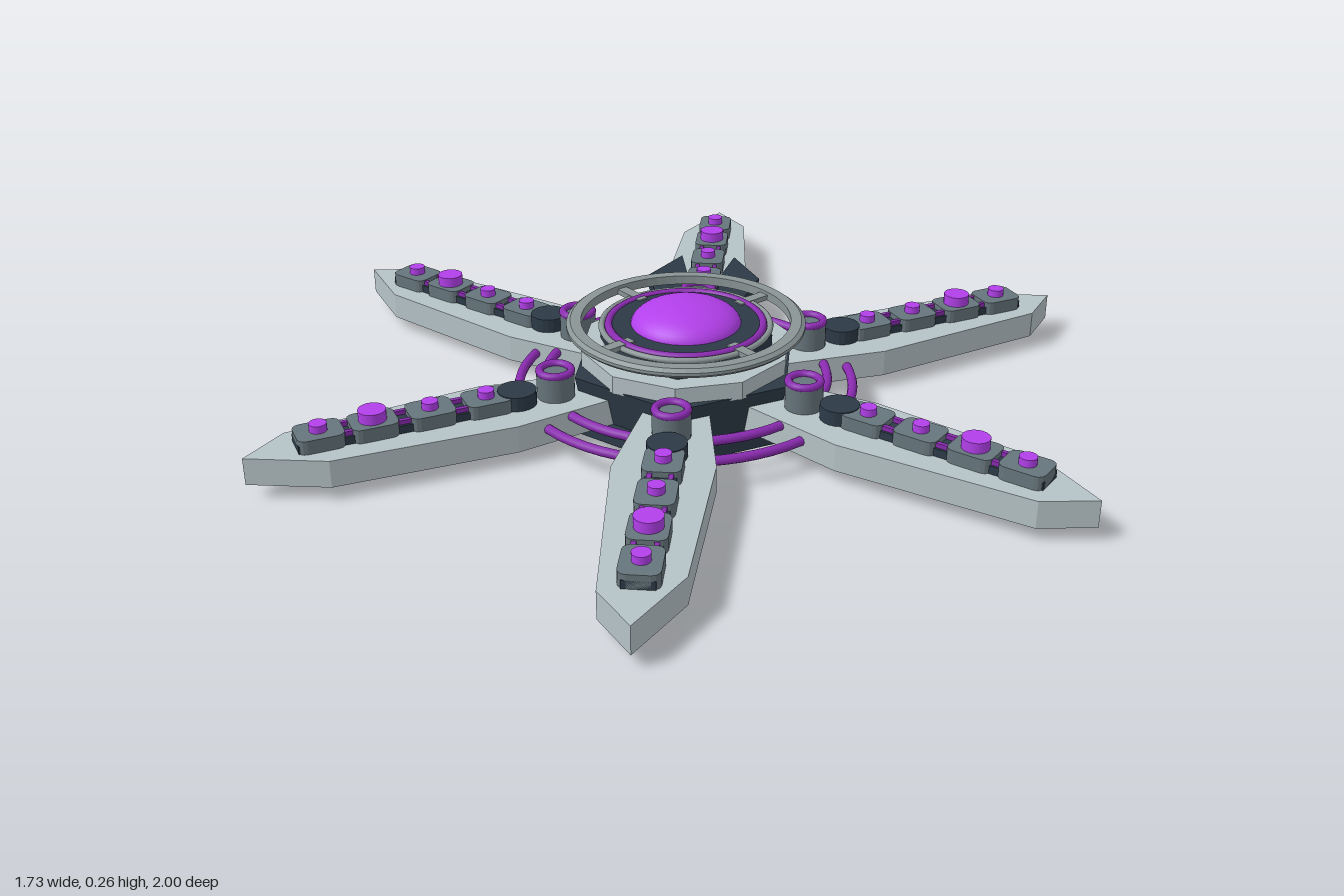
import * as THREE from 'three';

const mat = (color, flatShading = false) => new THREE.MeshStandardMaterial({ color, flatShading });
const light = mat(0xb6c3c7, true);
const steel = mat(0x8a9596);
const mid = mat(0x66757c);
const dark = mat(0x2c3a47, true);
const purple = mat(0xb23fea);
const violet = mat(0x8a2bb0);

function add(parent, name, geometry, material, x = 0, y = 0, z = 0) {
  const mesh = new THREE.Mesh(geometry, material);
  mesh.name = name;
  mesh.position.set(x, y, z);
  parent.add(mesh);
  return mesh;
}

// Upright cylinder between two heights
function disc(parent, name, r, y0, y1, material, z = 0, sides = 32, rTop = r) {
  return add(parent, name, new THREE.CylinderGeometry(rTop, r, y1 - y0, sides), material, 0, (y0 + y1) / 2, z);
}

// Horizontal torus
function hoop(parent, name, r, tube, y, material, z = 0, segments = 64) {
  return add(parent, name, new THREE.TorusGeometry(r, tube, 10, segments).rotateX(Math.PI / 2), material, 0, y, z);
}

// Outline in x/z, extruded between two heights
function plate(parent, name, points, y0, y1, material) {
  const shape = new THREE.Shape(points.map(([x, z]) => new THREE.Vector2(x, z)));
  const geometry = new THREE.ExtrudeGeometry(shape, { depth: y1 - y0, bevelEnabled: false }).rotateX(Math.PI / 2);
  return add(parent, name, geometry, material, 0, y1, 0);
}

function roundedRect(w, l, r) {
  const points = [];
  [[1, 1], [-1, 1], [-1, -1], [1, -1]].forEach(([sx, sz], corner) => {
    for (let i = 0; i <= 3; i++) {
      const a = (corner + i / 3) * Math.PI / 2;
      points.push([sx * (w / 2 - r) + r * Math.cos(a), sz * (l / 2 - r) + r * Math.sin(a)]);
    }
  });
  return points;
}

// One arm pointing along +z
function createArm() {
  const arm = new THREE.Group();
  arm.name = 'arm';
  plate(arm, 'armBlade', [[-0.07, 0.2], [0.07, 0.2], [0.105, 0.44], [0.085, 0.84],
    [0, 1], [-0.075, 0.9], [-0.11, 0.46]], 0.03, 0.092, light);

  // Socket and joint at the root
  disc(arm, 'socket', 0.042, 0.09, 0.15, mid, 0.315, 24);
  hoop(arm, 'socketRing', 0.035, 0.009, 0.153, violet, 0.315, 24);
  disc(arm, 'joint', 0.043, 0.09, 0.125, dark, 0.405, 20);

  // Chain of pads with glowing studs
  add(arm, 'padRail', new THREE.BoxGeometry(0.065, 0.02, 0.46), dark, 0, 0.1, 0.66);
  [[0.475, 0.018], [0.6, 0.018], [0.725, 0.03], [0.84, 0.019]].forEach(([z, r], i) => {
    plate(arm, 'pad', roundedRect(0.082, 0.1, 0.018), 0.09, 0.123, mid).position.z = z;
    disc(arm, 'stud', r, 0.12, r > 0.02 ? 0.147 : 0.14, purple, z, 20);
    if (i < 3) for (const x of [-0.022, 0.022])
      add(arm, 'link', new THREE.BoxGeometry(0.01, 0.012, 0.04), violet, x, 0.114, z + 0.06);
  });
  return arm;
}

export function createModel() {
  const model = new THREE.Group();
  model.name = 'starStation';

  // Dark hexagonal hull
  disc(model, 'basePlate', 0.29, 0, 0.03, dark, 0, 6);
  disc(model, 'hull', 0.25, 0.03, 0.125, dark, 0, 6, 0.27);

  // Six arms
  for (let i = 0; i < 6; i++) {
    const arm = createArm();
    arm.rotation.y = i * Math.PI / 3;
    model.add(arm);
  }

  // Orbit rings around the hull
  hoop(model, 'innerOrbitRing', 0.322, 0.011, 0.08, violet);
  hoop(model, 'outerOrbitRing', 0.38, 0.011, 0.065, violet);

  // Stepped deck
  disc(model, 'deck', 0.24, 0.12, 0.162, light, 0, 10);
  disc(model, 'upperDeck', 0.195, 0.16, 0.186, dark, 0, 8);
  disc(model, 'neck', 0.13, 0.185, 0.205, violet, 0, 40);

  // Halo ring with struts
  const haloProfile = [[0.236, 0.2], [0.262, 0.2], [0.269, 0.207], [0.269, 0.214], [0.26, 0.221],
    [0.236, 0.221], [0.236, 0.2]].map(([r, y]) => new THREE.Vector2(r, y));
  add(model, 'halo', new THREE.LatheGeometry(haloProfile, 64), mat(0x8a9596, true));
  for (let i = 0; i < 4; i++) {
    const strut = new THREE.Group();
    strut.name = 'haloStrut';
    add(strut, 'strutBar', new THREE.BoxGeometry(0.025, 0.012, 0.09), steel, 0, 0.207, 0.2);
    strut.rotation.y = (i + 0.5) * Math.PI / 2;
    model.add(strut);
  }

  // Glowing dome in its collar
  disc(model, 'domeCollar', 0.168, 0.195, 0.21, dark, 0, 48);
  hoop(model, 'collarRing', 0.174, 0.009, 0.207, violet);
  hoop(model, 'collarRim', 0.19, 0.007, 0.205, steel);
  const dome = new THREE.SphereGeometry(0.125, 40, 12, 0, Math.PI * 2, 0, Math.PI / 2).scale(1, 0.44, 1);
  add(model, 'dome', dome, purple, 0, 0.205, 0);

  // Swept wings flanking the rear arm
  const wing = [[0.04, -0.25], [0.085, -0.26], [0.14, -0.475], [0.068, -0.61], [0.045, -0.5], [0.035, -0.4]];
  plate(model, 'rearWingLeft', wing, 0.08, 0.118, dark);
  plate(model, 'rearWingRight', wing.map(([x, z]) => [-x, z]), 0.08, 0.118, dark);

  return model;
}
